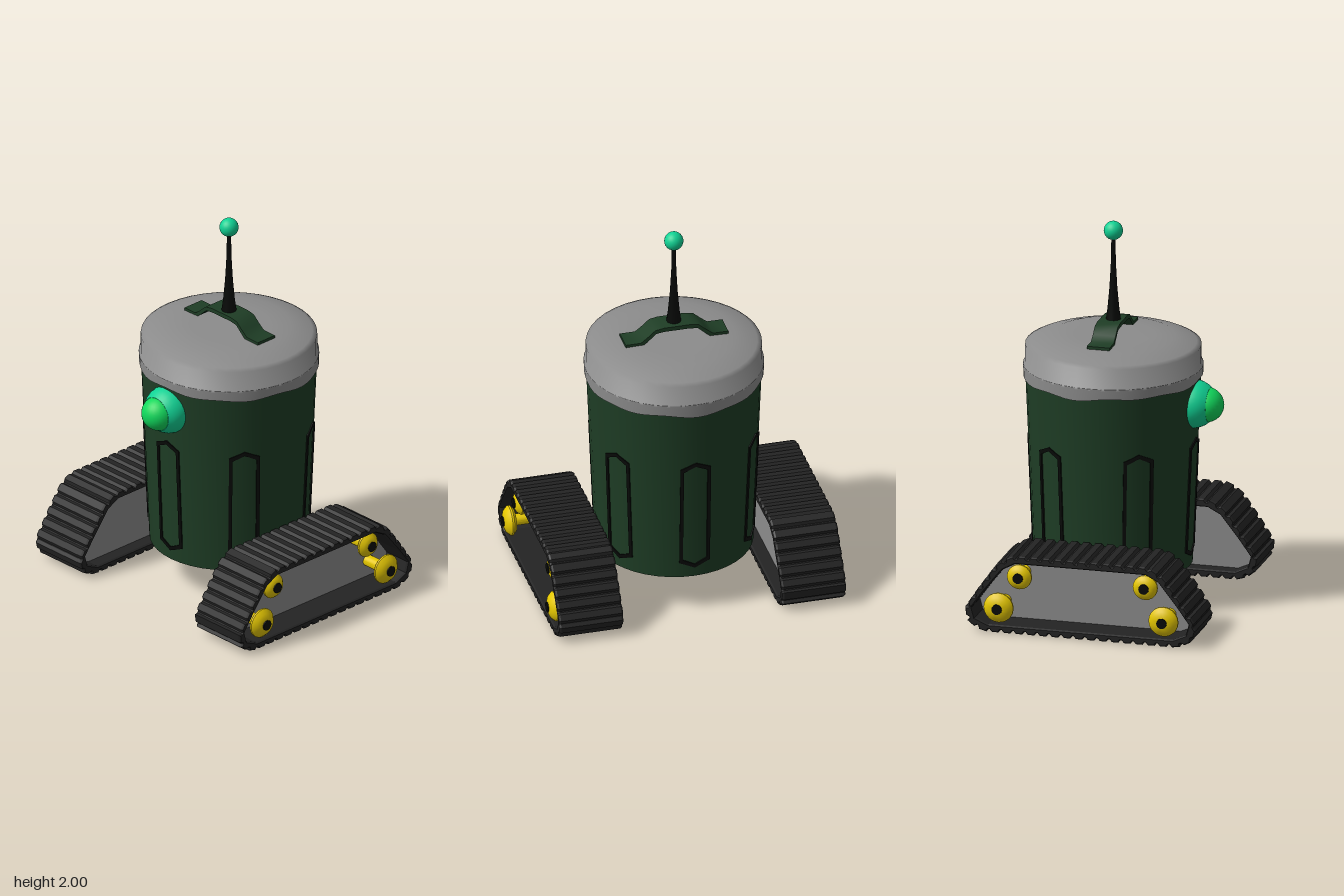
import * as THREE from 'three';
import { toCreasedNormals } from 'three/addons/utils/BufferGeometryUtils.js';

const mat = (color, side = THREE.FrontSide) => new THREE.MeshStandardMaterial({ color, side });
const GREEN = mat(0x1e3d25), GREY = mat(0x8c8c8c, THREE.DoubleSide), BLACK = mat(0x070907);
const RUBBER = mat(0x232323), YELLOW = mat(0xe6c800), TEAL = mat(0x10d294), LENS = mat(0x10d85c);
const V2 = (p) => new THREE.Vector2(p[0], p[1]);
const CENTRE_Z = -0.035;

function add(parent, name, geometry, material, x = 0, y = 0, z = 0) {
  const mesh = new THREE.Mesh(geometry, material);
  mesh.name = name;
  mesh.position.set(x, y, z);
  parent.add(mesh);
  return mesh;
}

const lathe = (points, segments = 32, crease = 0.5) =>
  toCreasedNormals(new THREE.LatheGeometry(points.map(V2), segments), crease);

const canRadius = (y) => 0.405 + 0.043 * (y - 0.2);

// Hexagonal outline wrapped around the tapered can
function panelFrame(angle) {
  const hexagon = (w, top, bottom, slope) => [
    [0, top], [-w, top - slope], [-w, bottom + slope], [0, bottom], [w, bottom + slope], [w, top - slope],
  ].map(V2);
  const shape = new THREE.Shape(hexagon(0.08, 0.885, 0.25, 0.035));
  shape.holes.push(new THREE.Path(hexagon(0.062, 0.864, 0.271, 0.03)));
  const geometry = new THREE.ExtrudeGeometry(shape, { depth: 0.018, bevelEnabled: false });
  const p = geometry.attributes.position;
  for (let i = 0; i < p.count; i++) {
    const y = p.getY(i), r = canRadius(y), a = angle + p.getX(i) / r;
    const d = r - 0.012 + p.getZ(i);
    p.setXYZ(i, Math.sin(a) * d, y, Math.cos(a) * d);
  }
  geometry.computeVertexNormals();
  return geometry;
}

// Collar under the lid with a wavy lower edge
function wavyCollar() {
  const geometry = new THREE.CylinderGeometry(0.459, 0.457, 0.06, 64, 1, true);
  const p = geometry.attributes.position;
  for (let i = 0; i < p.count; i++) {
    const a = Math.atan2(p.getX(i), p.getZ(i));
    const wave = 0.004 * Math.sin(5 * a + 1) + 0.005 * Math.cos(9 * a) + 0.008 * Math.cos(a);
    p.setY(i, p.getY(i) > 0 ? 1.245 : 1.184 + wave);
  }
  geometry.computeVertexNormals();
  return geometry;
}

// One side of the track profile, from top to bottom, as [z, y]
const TRACK = [[0.36, 0.401], [0.43, 0.36], [0.53, 0.22], [0.598, 0.115], [0.582, 0.05], [0.51, 0.014]];
const trackLoop = (sz = 1, sy = 1) => [
  ...TRACK, ...TRACK.slice().reverse().map(([z, y]) => [-z, y]),
].map(([z, y]) => new THREE.Vector2(z * sz, (y - 0.205) * sy + 0.205));

const alongX = (shape, depth, options) => new THREE.ExtrudeGeometry(shape,
  { depth, bevelEnabled: false, ...options }).rotateY(Math.PI / 2);

// Belt outline with evenly spaced cleats
function beltShape() {
  const loop = trackLoop(), path = new THREE.CurvePath(), points = [], teeth = 44;
  loop.forEach((p, i) => path.add(new THREE.LineCurve(p, loop[(i + 1) % loop.length])));
  for (let i = 0; i < teeth; i++) {
    for (const [step, height] of [[0, 0], [0.18, 0.014], [0.72, 0.014], [0.9, 0]]) {
      const u = (i + step) / teeth;
      const p = path.getPointAt(u), t = path.getTangentAt(u);
      points.push(new THREE.Vector2(p.x - t.y * height, p.y + t.x * height));
    }
  }
  const shape = new THREE.Shape(points.reverse());
  shape.holes.push(new THREE.Path(trackLoop(0.955, 0.86)));
  return shape;
}

function wheel(radius, edge, tip) {
  const group = new THREE.Group();
  group.name = 'wheel';
  const disc = lathe([[0, 0.58], [0.03, 0.58], [0.03, edge - 0.03], [radius * 0.8, edge - 0.025], [radius, edge - 0.01],
    [radius, edge], [radius * 0.75, edge + (tip - edge) * 0.65], [0.03, tip], [0, tip]], 20);
  add(group, 'wheelDisc', disc.rotateZ(-Math.PI / 2), YELLOW);
  const cap = new THREE.CylinderGeometry(0.027, 0.027, 0.012, 14);
  add(group, 'wheelHub', cap.rotateZ(-Math.PI / 2), BLACK, tip, 0, 0);
  return group;
}

function track(name) {
  const group = new THREE.Group();
  group.name = name;
  const bevel = { bevelEnabled: true, bevelSize: 0.006, bevelOffset: -0.006, bevelThickness: 0.01, bevelSegments: 1 };
  add(group, 'trackBelt', alongX(beltShape(), 0.317, bevel), RUBBER, 0.428);
  add(group, 'trackPanel', alongX(new THREE.Shape(trackLoop(0.965, 0.88)), 0.11), GREY, 0.49);
  for (const s of [1, -1]) {
    for (const [z, y, r, edge, tip] of [[0.435, 0.13, 0.078, 0.74, 0.772], [0.332, 0.295, 0.065, 0.715, 0.742]]) {
      const w = wheel(r, edge, tip);
      w.position.set(0, y, s * z);
      group.add(w);
    }
  }
  return group;
}

export function createModel() {
  const model = new THREE.Group();
  model.name = 'trackedCanRobot';

  // Can body, panel outlines and lid
  const can = new THREE.Group();
  can.name = 'can';
  can.position.z = CENTRE_Z;
  model.add(can);
  add(can, 'body', lathe([[0, 0.197], [0.405, 0.197], [canRadius(1.23), 1.23], [0, 1.23]], 40), GREEN);
  for (const degrees of [0, 57, 123, 180, 237, 303]) {
    add(can, 'panelFrame', panelFrame(THREE.MathUtils.degToRad(degrees)), BLACK);
  }
  add(can, 'collar', wavyCollar(), GREY);
  add(can, 'lid', lathe([[0, 1.235], [0.459, 1.235], [0.459, 1.246], [0.449, 1.25], [0.449, 1.35],
    [0.425, 1.362], [0.315, 1.394], [0.2, 1.397], [0, 1.397]], 40, 1.2), GREY);

  // Lid handle
  const top = [[0.27, 1.41], [0.19, 1.41], [0.155, 1.437], [0.115, 1.472], [0.07, 1.48]];
  const under = [[0.07, 1.458], [0.11, 1.452], [0.145, 1.42], [0.18, 1.392], [0.27, 1.392]];
  const mirrored = (list) => list.slice().reverse().map(([x, y]) => [-x, y]);
  const handle = new THREE.Shape([...top, ...mirrored(top), ...mirrored(under), ...under].map(V2));
  add(can, 'handle', toCreasedNormals(new THREE.ExtrudeGeometry(handle,
    { depth: 0.12, bevelEnabled: false }), 0.7), GREEN, 0, 0, -0.065);

  // Antenna
  add(can, 'antennaRod', lathe([[0, 1.465], [0.04, 1.465], [0.03, 1.54], [0.02, 1.65], [0.013, 1.78],
    [0.01, 1.93], [0, 1.93]], 16), BLACK);
  add(can, 'antennaBall', new THREE.SphereGeometry(0.049, 24, 16), TEAL, 0, 1.951, 0);

  // Eye
  const socket = lathe([[0, 0.34], [0.122, 0.34], [0.125, 0.4], [0.118, 0.43], [0.106, 0.455],
    [0.09, 0.475], [0, 0.475]], 32, 0.8);
  add(model, 'eyeSocket', socket.rotateX(Math.PI / 2), TEAL, 0, 1.063, 0);
  add(model, 'eyeLens', new THREE.SphereGeometry(0.09, 28, 20), LENS, 0, 1.063, 0.457);

  // Tracks
  model.add(track('leftTrack'));
  const right = track('rightTrack');
  right.rotation.y = Math.PI;
  model.add(right);
  return model;
}
